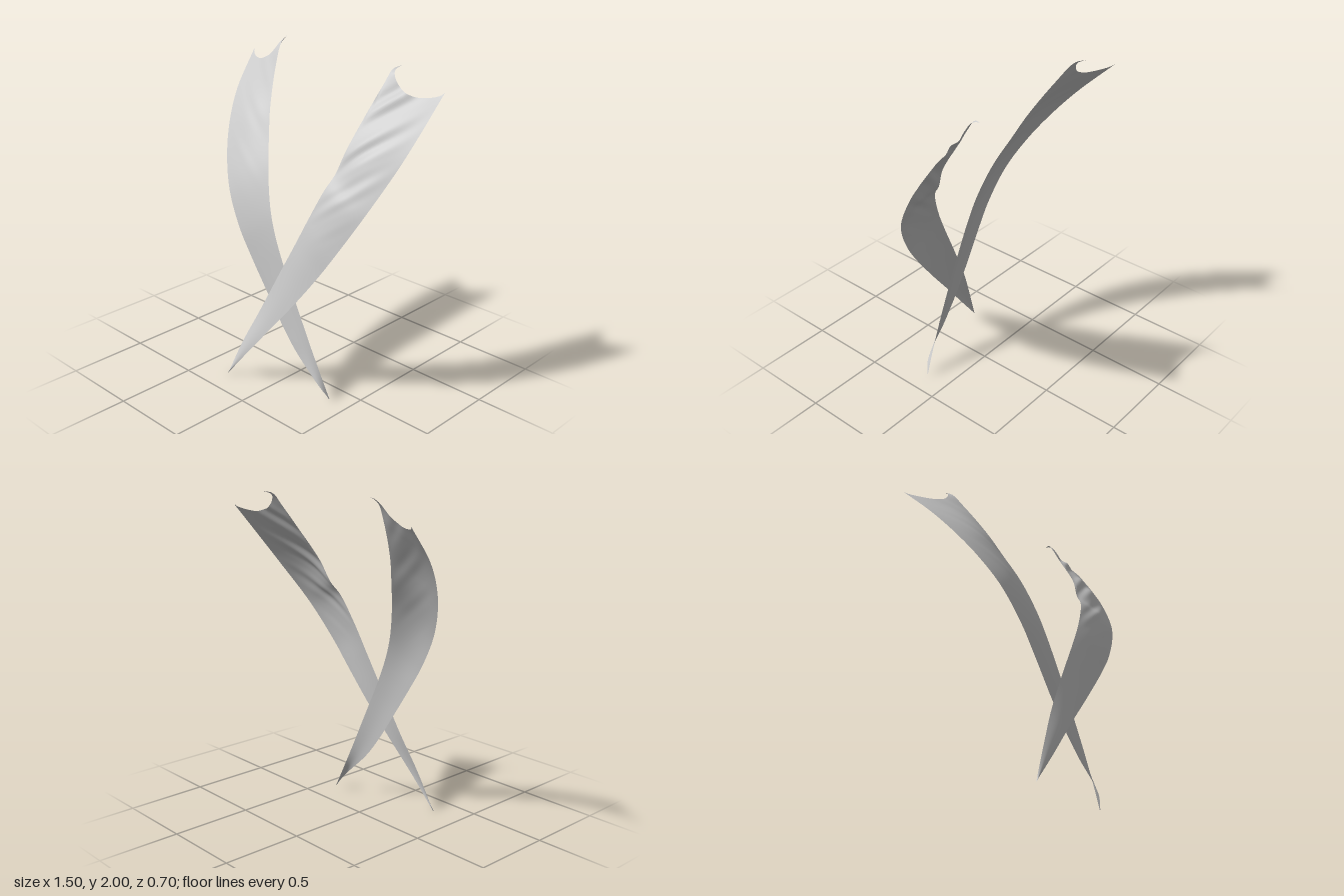
import * as THREE from 'three';

const ROWS = 100, COLS = 36;
const material = new THREE.MeshStandardMaterial({ color: 0xcccccc, side: THREE.DoubleSide });

const curve = pts => new THREE.CatmullRomCurve3(pts.map(p => new THREE.Vector3(...p)));
const { smoothstep } = THREE.MathUtils;

// Cloth strip lofted between two edge curves, running from the pointed tip to the scooped hem
function strap(name, leftPts, rightPts, innerIsLeft, dip, folds) {
  const left = curve(leftPts), right = curve(rightPts);
  const geo = new THREE.PlaneGeometry(1, 1, COLS, ROWS);
  const pos = geo.attributes.position;
  for (let i = 0; i < pos.count; i++) {
    const u = THREE.MathUtils.clamp(pos.getX(i) + 0.5, 0, 1), v = pos.getY(i) + 0.5;
    const inner = innerIsLeft ? u : 1 - u;               // 0 at the inner edge
    const arch = Math.max(0, Math.sin(Math.PI * u));
    const scoop = Math.max(0, Math.sin(Math.PI * Math.pow(inner, 0.75)));
    const t = THREE.MathUtils.clamp(v * (1 - dip * Math.pow(scoop, 0.7)), 0, 1);
    const p = left.getPointAt(t).lerp(right.getPointAt(t), u);
    // soft outward bow that flattens at the hem, then diagonal creases
    const bow = arch * (0.006 + 0.02 * smoothstep(t, 0.35, 0.7)) * (1 - smoothstep(t, 0.75, 0.95));
    const crease = folds * smoothstep(t, 0.5, 0.8) * (1 - inner) * Math.sqrt(arch)
      * (Math.sin(62 * t - 15 * inner) + 0.4 * Math.sin(105 * t - 24 * inner + 1));
    const d = bow + crease;
    pos.setXYZ(i, p.x, p.y + d * 0.5 * t, p.z + d * 0.85);
  }
  geo.computeVertexNormals();
  const mesh = new THREE.Mesh(geo, material);
  mesh.name = name;
  return mesh;
}

export function createModel() {
  const group = new THREE.Group();
  group.name = 'crossedStraps';

  // Front strap: rises from the right foot of the cross to its upper left
  group.add(strap('frontStrap',
    [[-0.30, 0, 0.345], [-0.2, 0.25, 0.302], [-0.1, 0.47, 0.255], [0.04, 0.76, 0.215], [0.14, 0.96, 0.19],
      [0.22, 1.13, 0.165], [0.295, 1.31, 0.115], [0.32, 1.39, 0.06], [0.35, 1.53, 0], [0.385, 1.75, -0.15],
      [0.41, 1.88, -0.24], [0.42, 1.945, -0.29], [0.44, 1.96, -0.345]],
    [[-0.30, 0, 0.345], [-0.15, 0.19, 0.32], [0.04, 0.43, 0.275], [0.2, 0.63, 0.245], [0.35, 0.83, 0.22],
      [0.45, 0.98, 0.195], [0.58, 1.22, 0.11], [0.675, 1.48, -0.05], [0.715, 1.66, -0.18], [0.745, 1.86, -0.335]],
    true, 0.055, 0.011));

  // Back strap: passes behind, from the left foot of the cross to its upper right
  group.add(strap('backStrap',
    [[0.38, 0.02, 0.145], [0.34, 0.09, 0.18], [0.15, 0.28, 0.2], [0.04, 0.42, 0.205], [-0.06, 0.57, 0.21],
      [-0.2, 0.79, 0.22], [-0.3, 0.95, 0.22], [-0.42, 1.15, 0.185], [-0.53, 1.34, 0.1], [-0.62, 1.51, -0.01],
      [-0.69, 1.67, -0.14], [-0.75, 1.877, -0.345]],
    [[0.38, 0.02, 0.145], [0.345, 0.1, 0.152], [0.25, 0.31, 0.165], [0.13, 0.57, 0.172], [0.04, 0.76, 0.174],
      [-0.045, 0.95, 0.168], [-0.105, 1.1, 0.148], [-0.18, 1.3, 0.09], [-0.255, 1.48, 0.01], [-0.315, 1.63, -0.06],
      [-0.395, 1.84, -0.185], [-0.44, 1.97, -0.28], [-0.455, 2, -0.35]],
    false, 0.06, 0.002));

  return group;
}
